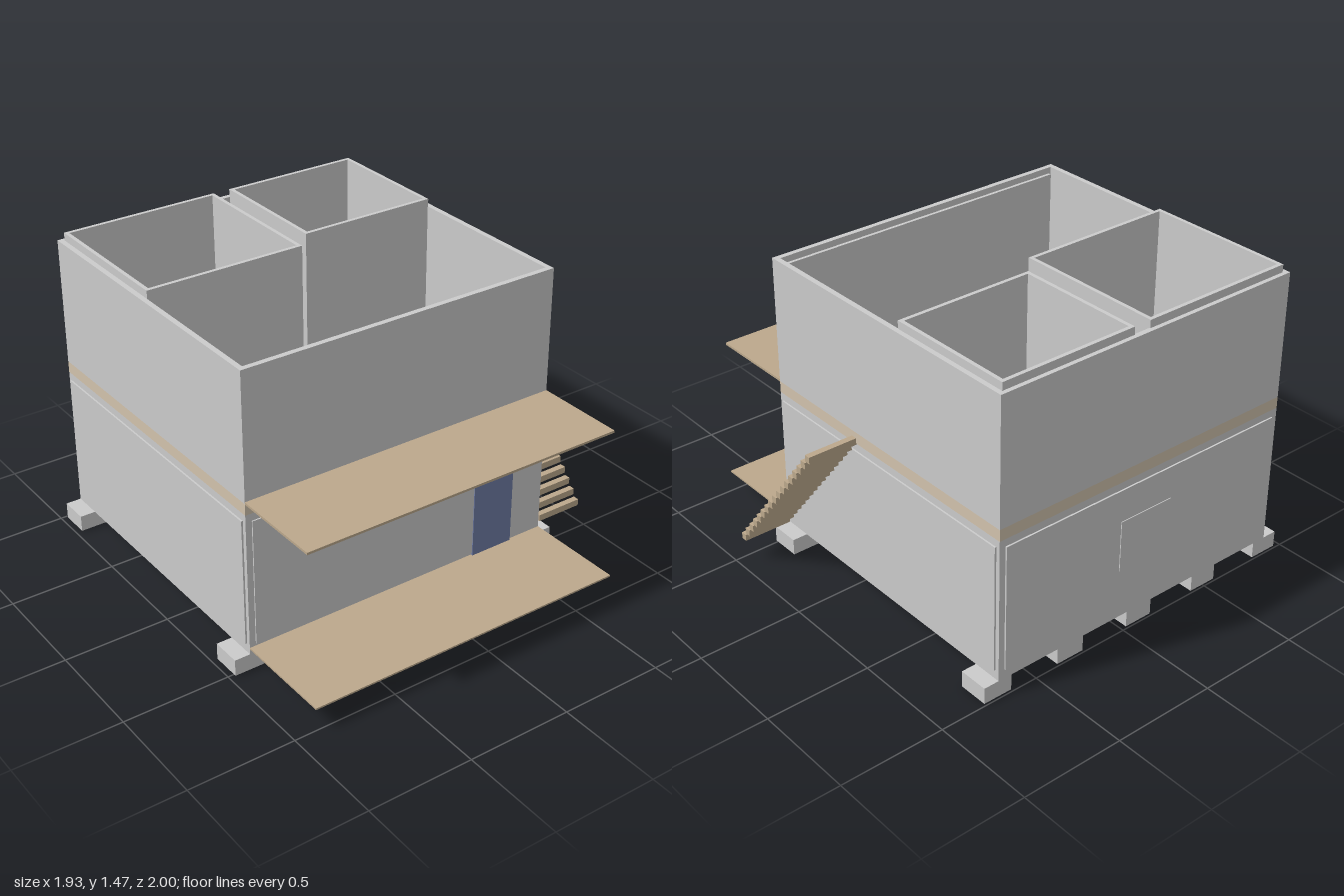
import * as THREE from 'three';

const mat = (color) => new THREE.MeshStandardMaterial({ color });

export function createModel() {
  const house = new THREE.Group();
  house.name = 'house';
  const grey = mat(0xcccccc);
  const timber = mat(0xbca88c);
  const floorTan = mat(0xd2c3ad);
  const blue = mat(0x6f7ca6);

  const add = (name, geometry, material) => {
    const mesh = new THREE.Mesh(geometry, material);
    mesh.name = name;
    house.add(mesh);
    return mesh;
  };

  // Box given by its lower and upper limits on each axis
  const box = (name, material, x0, x1, y0, y1, z0, z1) => {
    const mesh = add(name, new THREE.BoxGeometry(x1 - x0, y1 - y0, z1 - z0), material);
    mesh.position.set((x0 + x1) / 2, (y0 + y1) / 2, (z0 + z1) / 2);
    return mesh;
  };

  // Rectangular ring of walls, open above and below
  const walls = (name, x0, x1, y0, y1, z0, z1, t) => {
    const rect = (P, a, b, c, d) => new P([
      new THREE.Vector2(a, c), new THREE.Vector2(b, c),
      new THREE.Vector2(b, d), new THREE.Vector2(a, d),
    ]);
    const shape = rect(THREE.Shape, x0, x1, -z1, -z0);
    shape.holes.push(rect(THREE.Path, x0 + t, x1 - t, -z1 + t, -z0 - t));
    const geometry = new THREE.ExtrudeGeometry(shape, { depth: y1 - y0, bevelEnabled: false });
    geometry.rotateX(-Math.PI / 2).translate(0, y0, 0);
    add(name, geometry, grey);
  };

  const X0 = -0.895, X1 = 0.695, Z0 = -0.988, Z1 = 0.512;

  // Two storeys with a floor slab between them
  box('groundFloor', floorTan, X0 + 0.02, X1 - 0.02, 0.078, 0.108, Z0 + 0.02, Z1 - 0.02);
  walls('lowerWalls', X0, X1, 0.078, 0.77, Z0, Z1, 0.025);
  box('upperFloor', floorTan, X0, X1, 0.77, 0.825, Z0, Z1);
  walls('upperWalls', X0, X1, 0.825, 1.43, Z0, Z1, 0.025);

  // Thin cladding panels on the lower storey
  box('frontPanel', grey, X0 + 0.03, X1 - 0.03, 0.125, 0.735, Z1, Z1 + 0.006);
  box('backPanel', grey, X0 + 0.03, X1 - 0.03, 0.125, 0.735, Z0 - 0.008, Z0);
  box('leftPanel', grey, X1, X1 + 0.008, 0.125, 0.735, Z0 + 0.02, Z1 - 0.02);
  box('rightPanel', grey, X0 - 0.008, X0, 0.125, 0.735, Z0 + 0.02, Z1 - 0.02);
  box('innerFrontPanel', grey, X0 + 0.035, X1 - 0.035, 0.825, 1.4, Z1 - 0.04, Z1 - 0.025);

  // Openings
  box('door', blue, 0.295, 0.515, 0.108, 0.625, Z1, Z1 + 0.01);
  box('backWindow', grey, -0.245, 0.04, 0.33, 0.58, -1, Z0);

  // Open-topped rooms on the upper floor
  walls('rightRoom', -0.87, -0.095, 0.825, 1.467, -0.968, -0.24, 0.018);
  walls('leftRoom', -0.01, 0.672, 0.825, 1.467, -0.968, -0.335, 0.018);

  // Porch decks
  box('lowerDeck', timber, X0, X1, 0.104, 0.112, Z1, 1);
  box('upperDeck', timber, X0, X1, 0.823, 0.834, Z1, 0.952);

  // Foundation blocks under the front and back edges
  for (const z of [0.44, -0.916]) {
    for (let i = 0; i < 5; i++) {
      const x = -0.898 + i * 0.399;
      box('foundationBlock', grey, x - 0.072, x + 0.072, 0, 0.079, z - 0.072, z + 0.072);
    }
  }

  // Outside stair of separate treads, climbing toward the back
  for (let i = 0; i < 17; i++) {
    const y = 0.131 + i * 0.0426;
    const z = 0.472 - i * 0.0345;
    box('stairTread', timber, 0.725, 0.965, y - 0.016, y + 0.016, z - 0.015, z + 0.015);
  }

  return house;
}
